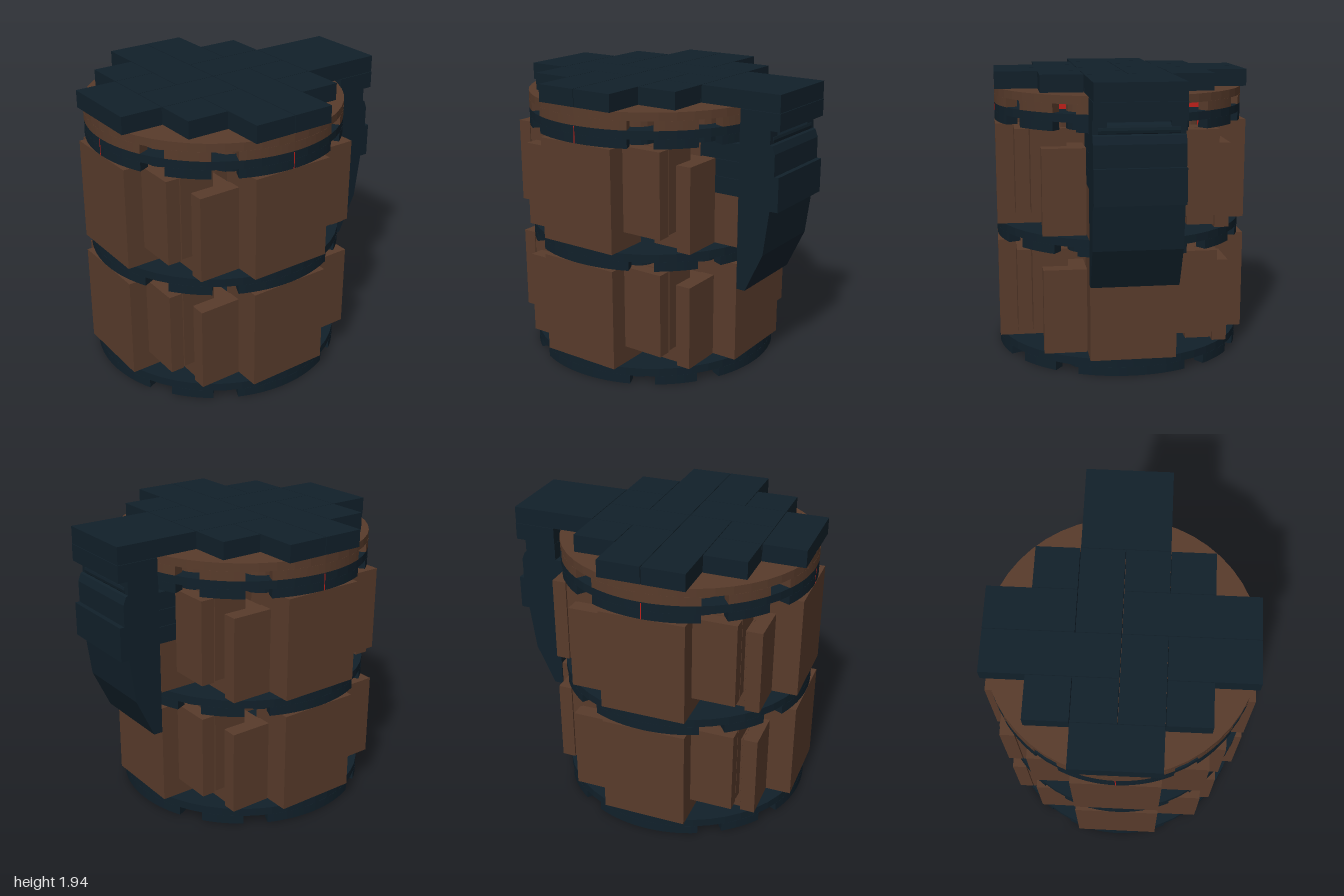
import * as THREE from 'three';

const U = 0.285;            // grid pitch
const H = 0.1143;           // thickness of one plate layer
const R = 3 * U;            // barrel radius
const CZ = 0.145;           // z of the barrel axis

const mat = (color) => new THREE.MeshStandardMaterial({ color, flatShading: true });
const BROWN = mat(0x583b2b), DARK = mat(0x11202a), RED = mat(0xc0201a);

function add(parent, name, geometry, material) {
  const mesh = new THREE.Mesh(geometry, material);
  mesh.name = name;
  parent.add(mesh);
  return mesh;
}

// Box given by its limits
function box(parent, name, material, x0, x1, y0, y1, z0, z1) {
  const m = add(parent, name, new THREE.BoxGeometry(x1 - x0, y1 - y0, z1 - z0), material);
  m.position.set((x0 + x1) / 2, (y0 + y1) / 2, (z0 + z1) / 2);
  return m;
}

// Flat shape extruded upwards
function slab(shape, height, curveSegments) {
  const g = new THREE.ExtrudeGeometry(shape, { depth: height, bevelEnabled: false, curveSegments });
  return g.rotateX(-Math.PI / 2);
}

// Round plate: disc on top, notched rim and tubes underneath
function roundPlate(name, y, material) {
  const g = new THREE.Group();
  g.name = name;
  g.position.y = y;
  const low = 0.06;
  const disc = add(g, 'disc', new THREE.CylinderGeometry(R, R, H - low, 48), material);
  disc.position.y = (H + low) / 2;

  const rad = THREE.MathUtils.degToRad;
  for (let q = 0; q < 4; q++) {
    for (const [a, b] of [[-24.5, 24.5], [35.5, 54.5]]) {
      const s = new THREE.Shape();
      s.absarc(0, 0, R, rad(a + q * 90), rad(b + q * 90), false);
      s.absarc(0, 0, R - 0.08, rad(b + q * 90), rad(a + q * 90), true);
      add(g, 'rim', slab(s, low, 8), material);
    }
  }
  const ring = new THREE.Shape().absarc(0, 0, 0.116, 0, Math.PI * 2, false);
  ring.holes.push(new THREE.Path().absarc(0, 0, 0.085, 0, Math.PI * 2, true));
  const tube = slab(ring, low, 8);
  for (let i = -2; i <= 2; i++) {
    for (let j = -2; j <= 2; j++) {
      if (Math.abs(i) + Math.abs(j) === 4) continue;
      add(g, 'tube', tube, material).position.set(i * U, 0, j * U);
    }
  }
  return g;
}

// One quarter of a stave ring: flat panel and two offset corner staves
function staveQuarter(y0, panelTop) {
  const g = new THREE.Group();
  g.name = 'staveQuarter';
  const y1 = y0 + 6 * H, e = 0.003;
  box(g, 'panel', BROWN, -U + e, U - e, y0, panelTop, 2 * U - 0.02, R);
  box(g, 'cornerStave', BROWN, U, 2 * U, y0 + 0.13, y1, 0.4, 0.635);
  box(g, 'cornerStaveFace', BROWN, U, 2 * U, y0 + 0.121, y1, 0.642, 0.735);
  box(g, 'sideStave', BROWN, 0.4, 0.582, y0 + 0.02, y1 - 0.12, U, 2 * U - 0.01);
  box(g, 'sideStaveFace', BROWN, 0.585, 0.683, y0, y1 - H, U, 2 * U);
  const stud = new THREE.CylinderGeometry(0.085, 0.085, 0.056, 16);
  for (const [x, z] of [[1.5 * U, 1.5 * U], [U / 2, 2.5 * U], [-U / 2, 2.5 * U]]) {
    if (panelTop < y1 && z > 2 * U) continue;
    add(g, 'stud', stud, BROWN).position.set(x, y1 + 0.028, z);
  }
  return g;
}

export function createModel() {
  const model = new THREE.Group();
  model.name = 'barrel';

  const body = new THREE.Group();
  body.name = 'barrelBody';
  body.position.z = CZ;
  model.add(body);

  // Hoops and lid
  body.add(roundPlate('bottomHoop', 0, DARK));
  body.add(roundPlate('middleHoop', 7 * H, DARK));
  body.add(roundPlate('topHoop', 14 * H, DARK));
  body.add(roundPlate('lidDisc', 15 * H, BROWN));

  // Two rings of staves; the upper back panel is shortened for the latch
  [H, 8 * H].forEach((y0, ring) => {
    for (let q = 0; q < 4; q++) {
      const cut = ring === 1 && q === 2;
      const quarter = staveQuarter(y0, cut ? 11 * H : y0 + 6 * H);
      quarter.rotation.y = q * Math.PI / 2;
      body.add(quarter);
    }
  });

  // Red core showing through the notches and hoop seams
  box(body, 'core', RED, -0.5, 0.5, 14 * H, 15 * H + 0.058, -0.5, 0.5);
  box(body, 'seam', RED, -0.003, 0.003, 14 * H, 15 * H - 0.005, -R - 0.001, R + 0.001);
  box(body, 'seam', RED, -R - 0.001, R + 0.001, 14 * H, 15 * H - 0.005, -0.003, 0.003);

  // Lid tiles in grid units: x0, x1, z0, z1 about the barrel axis
  const tiles = [
    [-1, 1, -4, -2], [-2, -1, -2, -1], [-1, 0, -2, 0], [0, 1, -2, -1], [1, 2, -2, -1],
    [-3, -1, -1, 0], [0, 3, -1, 0], [-3, 0, 0, 1], [0, 1, 0, 2], [1, 3, 0, 1],
    [-2, -1, 1, 2], [-1, 0, 1, 2], [1, 2, 1, 2], [-1, 1, 2, 3],
  ];
  const gap = 0.002;
  for (const [x0, x1, z0, z1] of tiles) {
    box(body, 'lidTile', DARK, x0 * U + gap, x1 * U - gap, 16 * H, 17 * H,
      z0 * U + gap, z1 * U - gap);
  }

  // Latch at the back
  const latch = new THREE.Group();
  latch.name = 'latch';
  model.add(latch);
  box(latch, 'latchTopPlate', DARK, -U, U, 15 * H, 16 * H - 0.002, -0.995, -0.715);
  box(latch, 'latchMountUpper', DARK, -U, U, 13 * H, 14 * H, -0.713, -0.425);
  box(latch, 'latchMountMiddle', DARK, -U, U, 12 * H, 13 * H - 0.003, -0.713, -0.425);
  box(latch, 'latchMountLower', DARK, -U, U, 11 * H, 12 * H - 0.003, -0.713, -0.425);
  box(latch, 'latchLedge', DARK, -U, U, 11 * H - 0.055, 12.5 * H, -0.997, -0.9);
  box(latch, 'hingeBlock', DARK, -0.2, 0.2, 14 * H - 0.02, 15 * H, -0.86, -0.713);
  for (const s of [-1, 1]) {
    const x = s * 0.24;
    box(latch, 'hingeArm', DARK, x - 0.045, x + 0.045, 14 * H - 0.02, 15 * H, -0.93, -0.713);
  }
  const pin = add(latch, 'hingePin', new THREE.CylinderGeometry(0.045, 0.045, 0.5, 16), DARK);
  pin.rotation.z = Math.PI / 2;
  pin.position.set(0, 1.65, -0.89);

  // Tongue profile: distance behind the axis plane, height
  const profile = [
    [0.713, 0.63], [0.775, 0.63], [0.9, 0.9], [0.94, 1.2], [0.965, 1.43],
    [0.965, 1.57], [0.945, 1.62], [0.9, 1.64], [0.86, 1.6], [0.713, 1.6],
  ].map(([z, y]) => new THREE.Vector2(z, y));
  const tongue = new THREE.ExtrudeGeometry(new THREE.Shape(profile), { depth: 2 * U, bevelEnabled: false });
  tongue.translate(0, 0, -U).rotateY(Math.PI / 2);
  add(latch, 'latchTongue', tongue, DARK);

  return model;
}
